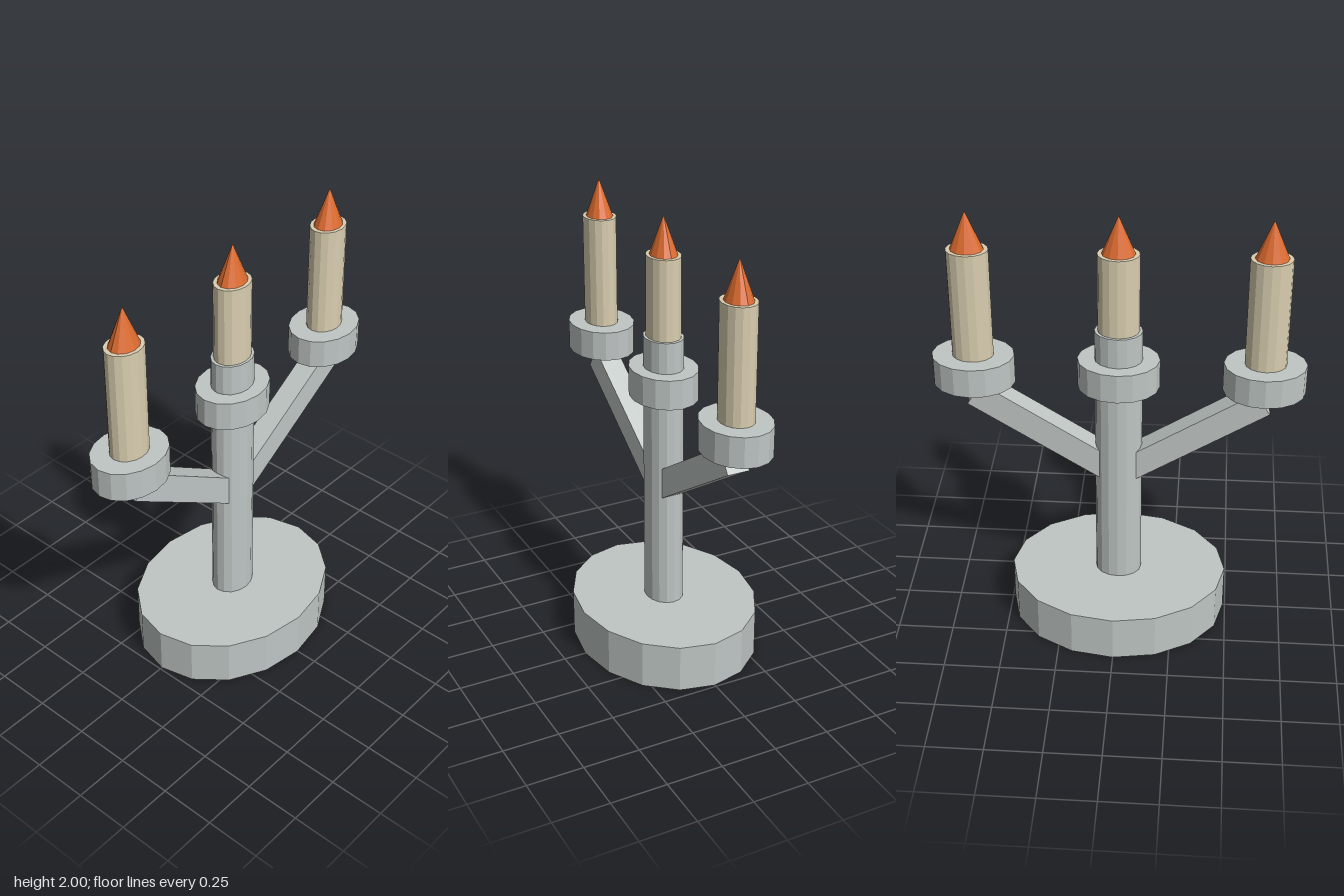
import * as THREE from 'three';

const DEPTH = 0.815; // every round part is slightly flattened front to back

export function createModel() {
  const group = new THREE.Group();
  const make = (name, color) => {
    const m = new THREE.MeshStandardMaterial({ color, flatShading: true });
    m.name = name;
    return m;
  };
  const metal = make('silver metal', 0xbfc6c4);
  const wax = make('cream wax', 0xd9ceb0);
  const fire = make('orange flame', 0xdd6b2e);

  const add = (name, geometry, material) => {
    const mesh = new THREE.Mesh(geometry, material);
    mesh.name = name;
    group.add(mesh);
    return mesh;
  };

  // Upright round part between two heights
  const round = (name, material, x, y0, y1, rBottom, rTop = rBottom, sides = 16) => {
    const geometry = rTop > 0
      ? new THREE.CylinderGeometry(rTop, rBottom, y1 - y0, sides)
      : new THREE.ConeGeometry(rBottom, y1 - y0, sides);
    geometry.scale(1, 1, DEPTH);
    add(name, geometry, material).position.set(x, (y0 + y1) / 2, 0);
  };

  // Foot and central post
  round('base', metal, 0, 0, 0.215, 0.49);
  round('post', metal, 0, 0.215, 1.472, 0.103);

  // Three dishes, candles and flames
  for (const x of [-0.622, 0, 0.622]) {
    round('dish', metal, x, 1.2, 1.333, 0.177);
    round('candle', wax, x, 1.333, 1.83, 0.089);
    round('flame', fire, x, 1.79, 2, 0.0875, 0, 12);
  }

  // Slanted square arms, running from inside the post to under the outer dishes
  for (const side of [-1, 1]) {
    const inner = new THREE.Vector2(0.03, 0.784);
    const outer = new THREE.Vector2(0.618, 1.16);
    const span = outer.clone().sub(inner);
    const arm = add(side > 0 ? 'leftArm' : 'rightArm',
      new THREE.BoxGeometry(span.length(), 0.12, 0.1), metal);
    arm.position.set(side * (inner.x + outer.x) / 2, (inner.y + outer.y) / 2, 0);
    arm.rotation.z = side * span.angle();
  }

  return group;
}
